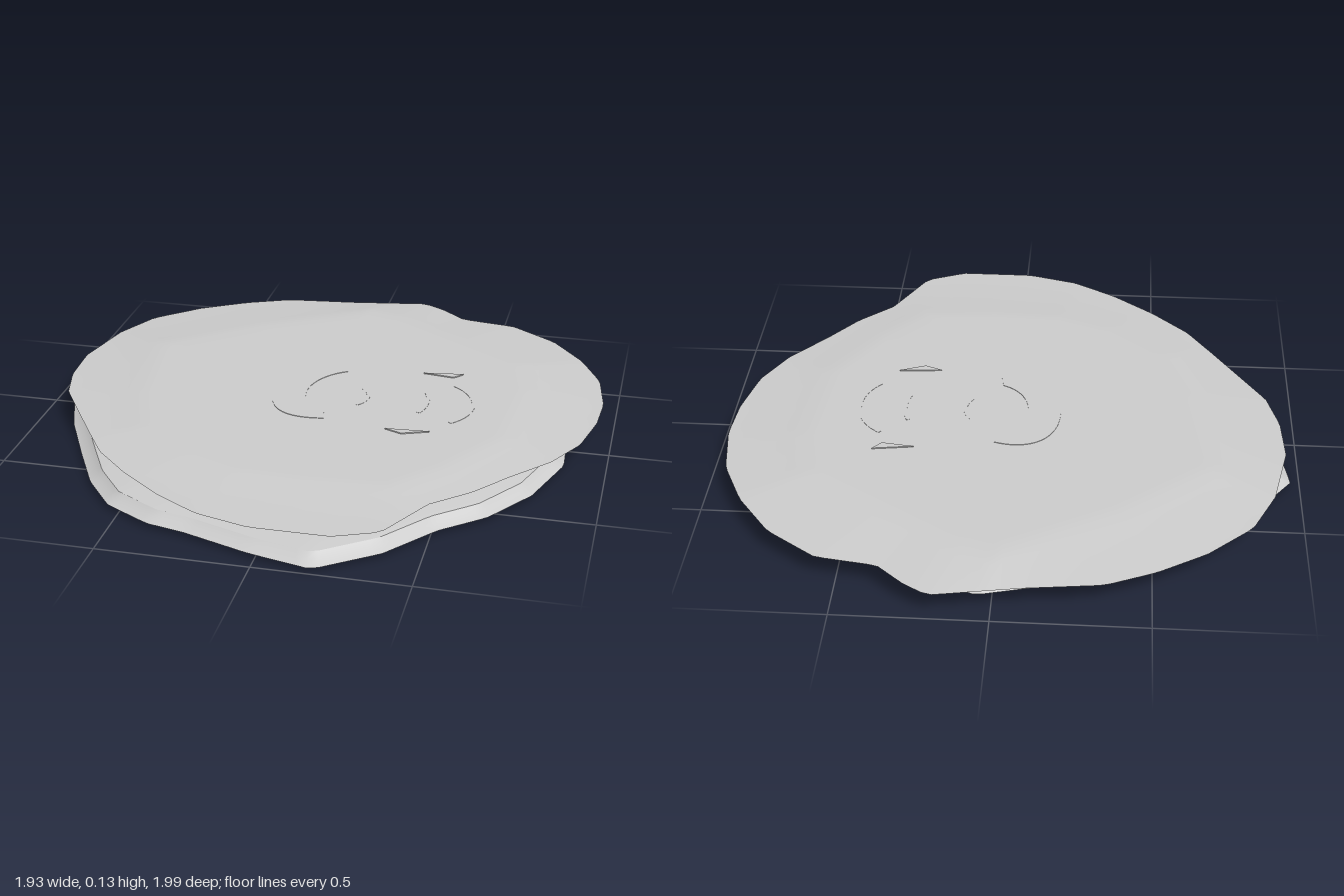
import * as THREE from 'three';
import { toCreasedNormals } from 'three/addons/utils/BufferGeometryUtils.js';

// Outlines as [x, z] points, clockwise seen from above
const upperRim = [[0.19, -1], [0.27, -0.95], [0.36, -0.87], [0.56, -0.84], [0.73, -0.72], [0.85, -0.56], [0.93, -0.39],
  [0.96, -0.19], [0.95, -0.03], [0.91, 0.15], [0.83, 0.3], [0.71, 0.44], [0.61, 0.57], [0.49, 0.68], [0.38, 0.89],
  [0.24, 0.95], [-0.02, 0.95], [-0.2, 0.9], [-0.35, 0.81], [-0.5, 0.69], [-0.63, 0.56], [-0.72, 0.42], [-0.9, 0.13],
  [-0.94, -0.02], [-0.95, -0.2], [-0.9, -0.44], [-0.82, -0.61], [-0.67, -0.75], [-0.51, -0.85], [-0.35, -0.92], [-0.1, -0.95]];
const lowerRim = [[0.05, -0.89], [0.3, -0.79], [0.55, -0.61], [0.735, -0.37], [0.85, -0.1], [0.86, 0.14], [0.78, 0.38],
  [0.66, 0.56], [0.52, 0.68], [0.38, 0.86], [0.19, 1], [-0.02, 0.95], [-0.25, 0.87], [-0.38, 0.84], [-0.54, 0.75],
  [-0.65, 0.61], [-0.75, 0.42], [-0.86, 0.2], [-0.93, 0], [-0.97, -0.24], [-0.8, -0.47], [-0.62, -0.62], [-0.34, -0.79]];
const plateau = [[0, -0.82], [0.12, -0.78], [0.3, -0.66], [0.65, -0.43], [0.7, -0.2], [0.67, 0.2], [0.51, 0.46], [0.36, 0.63],
  [0.1, 0.65], [-0.15, 0.64], [-0.35, 0.56], [-0.55, 0.38], [-0.65, 0.1], [-0.71, -0.33], [-0.4, -0.59]];

// Distance from the centre to an outline in direction t
function radius(outline, t) {
  const dx = Math.cos(t), dz = Math.sin(t);
  for (let i = 0; i < outline.length; i++) {
    const [px, pz] = outline[i], [qx, qz] = outline[(i + 1) % outline.length];
    if (dx * pz - dz * px > 1e-9 || dx * qz - dz * qx < -1e-9) continue;
    const ex = qx - px, ez = qz - pz;
    const r = (px * ez - pz * ex) / (dx * ez - dz * ex);
    if (r > 0) return r;
  }
  return 0.8;
}

// Loft through rings of [outline, scale, y, tilt along z], bottom centre to top centre
function loft(rings, n = 180) {
  const pos = [], idx = [];
  for (const [outline, scale, y, tilt = 0] of rings) {
    for (let j = 0; j < n; j++) {
      const t = (j / n) * Math.PI * 2, r = radius(outline, t) * scale;
      const z = r * Math.sin(t);
      pos.push(r * Math.cos(t), y + tilt * z, z);
    }
  }
  for (let i = 0; i < rings.length - 1; i++) {
    for (let j = 0; j < n; j++) {
      const k = (j + 1) % n, a = i * n + j, b = i * n + k, c = a + n, d = b + n;
      if (rings[i][1] > 0) idx.push(a, c, b);
      if (rings[i + 1][1] > 0) idx.push(b, c, d);
    }
  }
  const g = new THREE.BufferGeometry();
  g.setAttribute('position', new THREE.Float32BufferAttribute(pos, 3));
  g.setIndex(idx);
  return toCreasedNormals(g, 0.5);
}

export function createModel() {
  const group = new THREE.Group();
  const grey = new THREE.MeshStandardMaterial({ color: 0xcccccc });
  grey.name = 'light grey';
  const add = (name, geometry) => {
    const mesh = new THREE.Mesh(geometry, grey);
    mesh.name = name;
    group.add(mesh);
    return mesh;
  };

  // Two thin irregular discs with sharp rims and a narrow groove between them
  add('lowerDisc', loft([
    [lowerRim, 0, 0], [lowerRim, 0.65, 0], [lowerRim, 0.9, 0.006], [lowerRim, 1, 0.014, 0.004],
    [lowerRim, 0.97, 0.028, 0.004], [lowerRim, 0.95, 0.048], [lowerRim, 0.87, 0.058], [lowerRim, 0, 0.06],
  ]));
  add('upperDisc', loft([
    [upperRim, 0, 0.056], [upperRim, 0.84, 0.06], [upperRim, 0.88, 0.074], [upperRim, 0.92, 0.084],
    [upperRim, 1, 0.102, 0.007], [plateau, 1.06, 0.114], [plateau, 1, 0.12], [plateau, 0.93, 0.121], [plateau, 0, 0.122],
  ]));

  // Thin surface plates lying on the top
  const plate = (name, shape, height) => {
    const g = new THREE.ExtrudeGeometry(shape, { depth: height, bevelEnabled: false, curveSegments: 20 });
    g.rotateX(Math.PI / 2); // shape y becomes z
    add(name, g).position.y = 0.1215 + height;
  };

  // Crescent left of the centre
  const crescent = new THREE.Shape();
  crescent.moveTo(0.04, -0.22);
  crescent.bezierCurveTo(-0.08, -0.26, -0.18, -0.2, -0.18, -0.03);
  crescent.bezierCurveTo(-0.18, 0.14, -0.1, 0.21, 0.04, 0.18);
  crescent.lineTo(0.03, 0.13);
  crescent.bezierCurveTo(-0.1, 0.08, -0.1, -0.14, 0.04, -0.22);
  plate('crescent', crescent, 0.002);

  // Fine concentric arcs on the right
  for (const [cx, r, from, to] of [[0.06, 0.1, -0.8, 0.8], [0.15, 0.22, -0.4, 0.4], [0.33, 0.2, -1, 0.8]]) {
    const arc = new THREE.Shape();
    arc.absarc(cx, -0.02, r, from, to, false);
    arc.absarc(cx, -0.02, r - 0.012, to, from, true);
    plate('fineArc', arc, 0.001);
  }

  // Two small raised slivers
  for (const points of [[[0.31, -0.265], [0.45, -0.285], [0.42, -0.25]], [[0.26, 0.215], [0.41, 0.205], [0.32, 0.24]]]) {
    plate('sliver', new THREE.Shape(points.map(([x, z]) => new THREE.Vector2(x, z))), 0.004);
  }
  return group;
}
